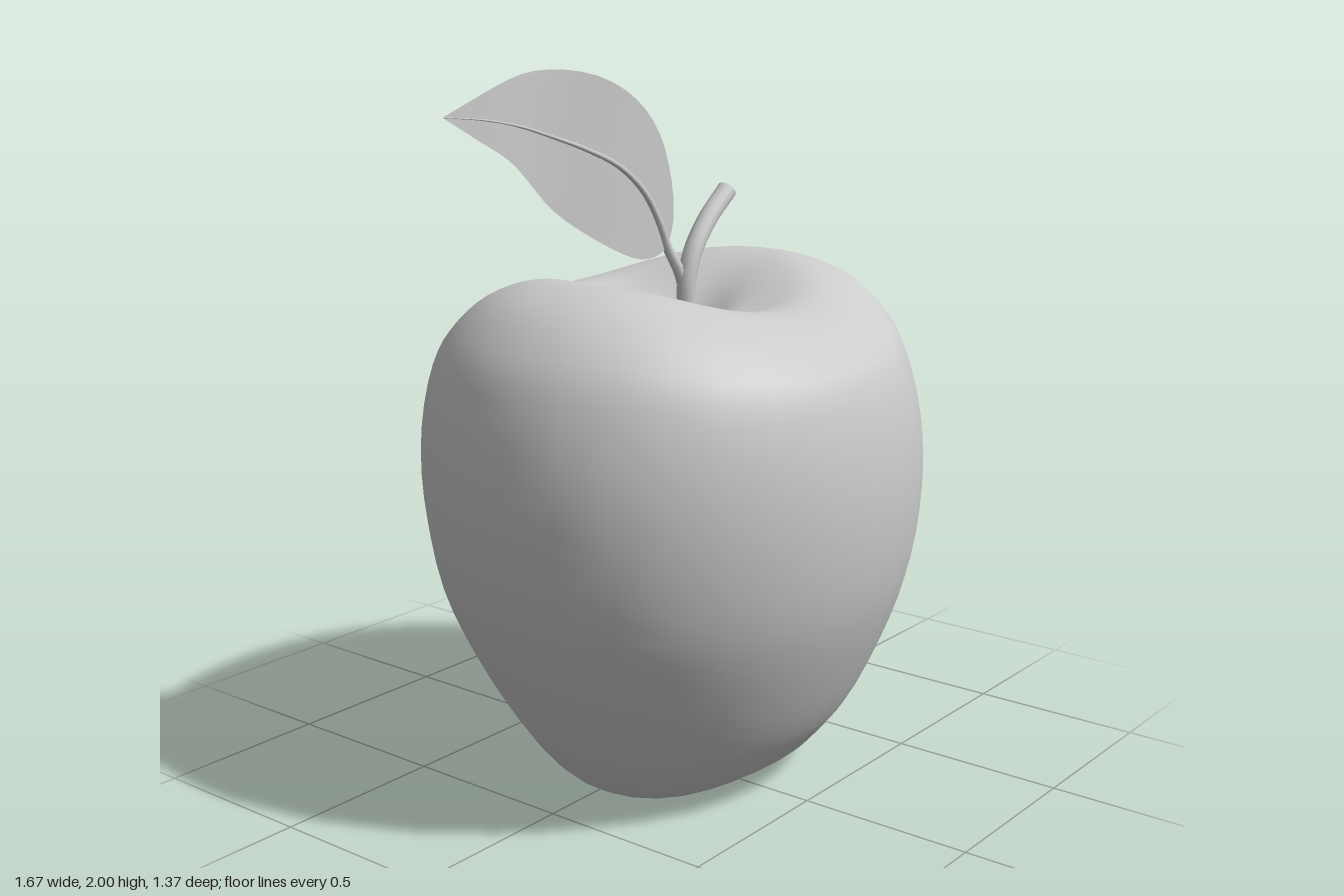
import * as THREE from 'three';
import { mergeVertices } from 'three/addons/utils/BufferGeometryUtils.js';

const grey = new THREE.MeshStandardMaterial({ color: 0xcccccc });
const greyThin = new THREE.MeshStandardMaterial({ color: 0xcccccc, side: THREE.DoubleSide });
const smooth = THREE.MathUtils.smoothstep;
const spline2 = (pts) => new THREE.SplineCurve(pts.map((p) => new THREE.Vector2(...p)));
const spline3 = (pts) => new THREE.CatmullRomCurve3(pts.map((p) => new THREE.Vector3(...p)));

function mesh(name, geometry, material = grey) {
  const m = new THREE.Mesh(geometry, material);
  m.name = name;
  return m;
}

// Tube whose radius runs from r0 to r1, changing fastest near the start
function taperedTube(path, segments, sides, r0, r1) {
  const geo = new THREE.TubeGeometry(path, segments, 1, sides);
  const pos = geo.attributes.position;
  const v = new THREE.Vector3();
  for (let i = 0; i < pos.count; i++) {
    const t = Math.floor(i / (sides + 1)) / segments;
    const centre = path.getPointAt(t);
    const radius = r0 + (r1 - r0) * Math.sqrt(t);
    v.fromBufferAttribute(pos, i).sub(centre).multiplyScalar(radius).add(centre);
    pos.setXYZ(i, v.x, v.y, v.z);
  }
  return geo;
}

// Flesh: a lathed profile made oval, with the rims dipping at front and back
function fruitGeometry() {
  const profile = spline2([
    [0, 0.085], [0.1, 0.075], [0.2, 0.045], [0.27, 0.014], [0.325, 0], [0.4, 0.03], [0.47, 0.1],
    [0.545, 0.2], [0.66, 0.4], [0.745, 0.6], [0.783, 0.82], [0.778, 1.02], [0.735, 1.2],
    [0.685, 1.3], [0.6, 1.385], [0.5, 1.43], [0.4, 1.442], [0.3, 1.418], [0.2, 1.365],
    [0.12, 1.3], [0.05, 1.24], [0, 1.225],
  ]).getPoints(63);
  let geo = new THREE.LatheGeometry(profile, 30);
  geo.deleteAttribute('uv');
  geo.deleteAttribute('normal');
  geo = mergeVertices(geo, 1e-4);
  const pos = geo.attributes.position;
  for (let i = 0; i < pos.count; i++) {
    const x = pos.getX(i), y = pos.getY(i), z = pos.getZ(i);
    const r = Math.hypot(x, z);
    const facing = r > 1e-4 ? Math.abs(z / r) ** 3 * smooth(r, 0, 0.35) : 0;
    const top = smooth(y, 1.12, 1.44);
    const bottom = 1 - smooth(y, 0, 0.3);
    pos.setXYZ(
      i,
      x - 0.045 * z + 0.05 + 0.015 * top,
      y + facing * (0.045 * bottom - 0.085 * top),
      z * 0.87 + 0.03 - 0.036 * y,
    );
  }
  geo.computeVertexNormals();
  return geo;
}

// Gentle front-to-back wave shared by the leaf and its vein
const leafZ = (x) => -0.012 - 0.024 * Math.exp(-(((x + 0.43) / 0.17) ** 2));

// Midrib of the blade, shared by the leaf and its vein
const midrib = [[0.02, 1.5], [-0.015, 1.57], [-0.08, 1.66], [-0.18, 1.737], [-0.3, 1.79],
  [-0.43, 1.833], [-0.55, 1.865], [-0.69, 1.89], [-0.835, 1.905]];

// Blade: a grid stretched between the lower edge, the midrib and the upper edge
function leafGeometry() {
  const lower = spline2([[0.02, 1.5], [-0.04, 1.478], [-0.13, 1.488], [-0.27, 1.55], [-0.42, 1.64],
    [-0.52, 1.725], [-0.6, 1.785], [-0.72, 1.845], [-0.835, 1.905]]);
  const middle = spline2(midrib);
  const upper = spline2([[0.02, 1.5], [0.047, 1.57], [0.04, 1.68], [-0.01, 1.81], [-0.11, 1.91],
    [-0.26, 1.978], [-0.43, 2.0], [-0.6, 1.982], [-0.835, 1.905]]);
  const geo = new THREE.PlaneGeometry(1, 1, 6, 24);
  const { position: pos, uv } = geo.attributes;
  for (let i = 0; i < pos.count; i++) {
    const u = uv.getX(i), t = uv.getY(i);
    const side = Math.abs(u - 0.5) * 2;
    const p = middle.getPoint(t).lerp((u < 0.5 ? upper : lower).getPoint(t), side);
    pos.setXYZ(i, p.x, p.y, leafZ(p.x));
  }
  geo.computeVertexNormals();
  return geo;
}

export function createModel() {
  const model = new THREE.Group();
  model.name = 'apple';
  model.add(mesh('fruit', fruitGeometry()));

  // Woody stem with a flat cut end
  const stemPath = spline3([[0.075, 1.2, 0.008], [0.075, 1.3, 0.01], [0.077, 1.4, 0.012],
    [0.105, 1.48, 0.012], [0.17, 1.56, 0.01], [0.265, 1.638, 0.01]]);
  const stem = new THREE.Group();
  stem.name = 'stem';
  stem.add(mesh('stemBark', taperedTube(stemPath, 20, 12, 0.023, 0.029)));
  const cut = mesh('stemEnd', new THREE.CircleGeometry(0.029, 12));
  cut.position.copy(stemPath.getPointAt(1));
  cut.quaternion.setFromUnitVectors(new THREE.Vector3(0, 0, 1), stemPath.getTangentAt(1));
  stem.add(cut);
  model.add(stem);

  // Leaf blade, with its stalk running on as the midrib
  const leaf = new THREE.Group();
  leaf.name = 'leaf';
  leaf.add(mesh('leafBlade', leafGeometry(), greyThin));
  const veinPath = spline3([[0.075, 1.39, 0.005], [0.055, 1.435, 0],
    ...midrib.map(([x, y]) => [x, y, leafZ(x)])]);
  leaf.add(mesh('leafStalk', taperedTube(veinPath, 40, 8, 0.02, 0.001)));
  model.add(leaf);

  return model;
}
